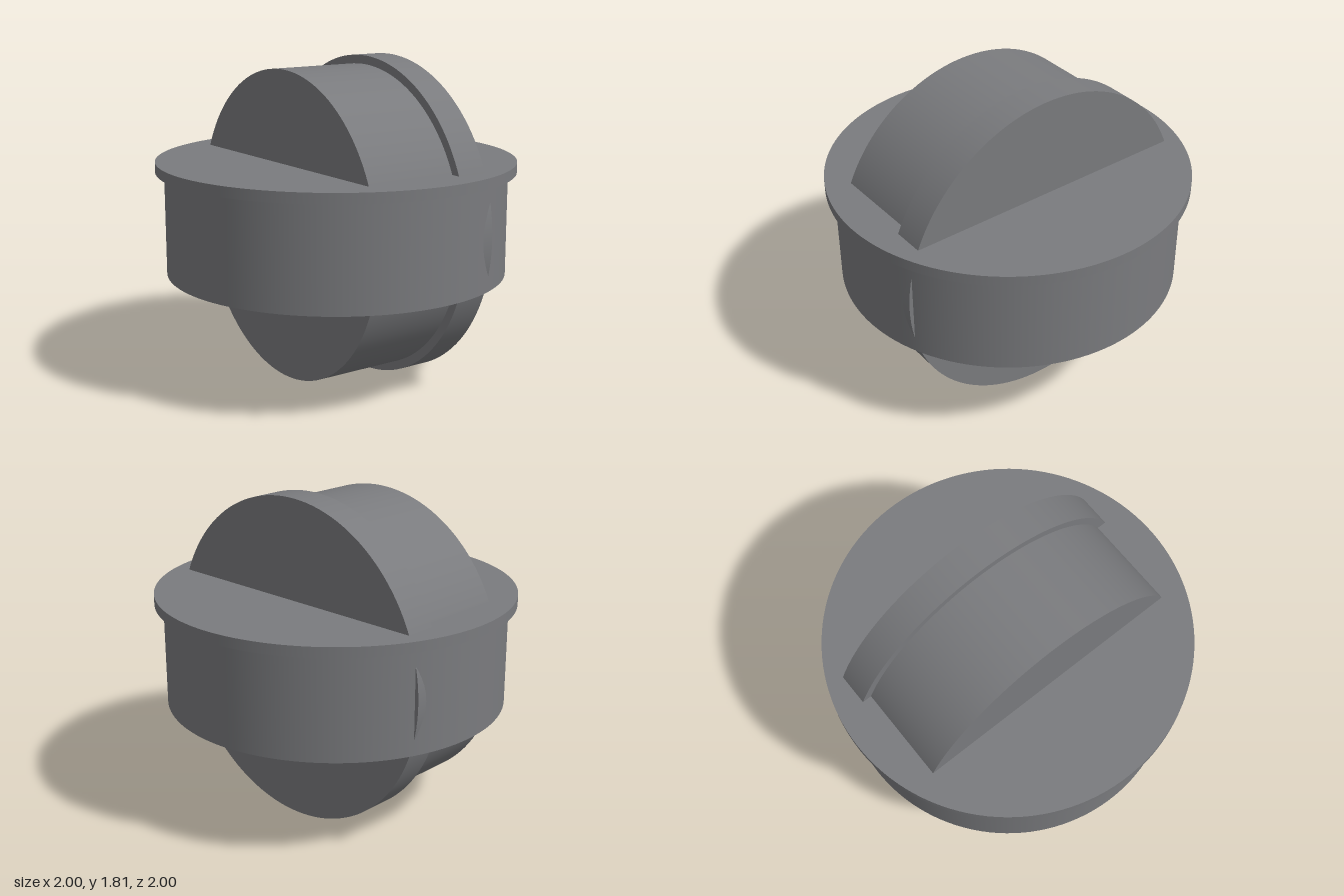
import * as THREE from 'three';

const material = new THREE.MeshStandardMaterial({ color: 0x7a7b7e });
const SEGMENTS = 128;

// Solid disc spanning from..to along its axis
function disc(name, radius, from, to) {
  const geometry = new THREE.CylinderGeometry(radius, radius, to - from, SEGMENTS);
  geometry.translate(0, (from + to) / 2, 0);
  const mesh = new THREE.Mesh(geometry, material);
  mesh.name = name;
  return mesh;
}

export function createModel() {
  const model = new THREE.Group();
  model.name = 'crossedDiscs';

  // Upright-axis housing with a thin flange on top
  const housing = new THREE.Group();
  housing.name = 'housing';
  housing.add(
    disc('housingBody', 0.952, 0.62, 1.194),
    disc('housingFlange', 1, 1.194, 1.252),
  );

  // Wheel through the housing: its axis runs along x, with a rim on the left (+x)
  const wheel = new THREE.Group();
  wheel.name = 'wheel';
  wheel.add(
    disc('wheelDrum', 0.857, -0.358, 0.178),
    disc('wheelRim', 0.905, 0.178, 0.356),
  );
  wheel.rotation.z = -Math.PI / 2;
  wheel.position.y = 0.905;

  model.add(housing, wheel);
  return model;
}
